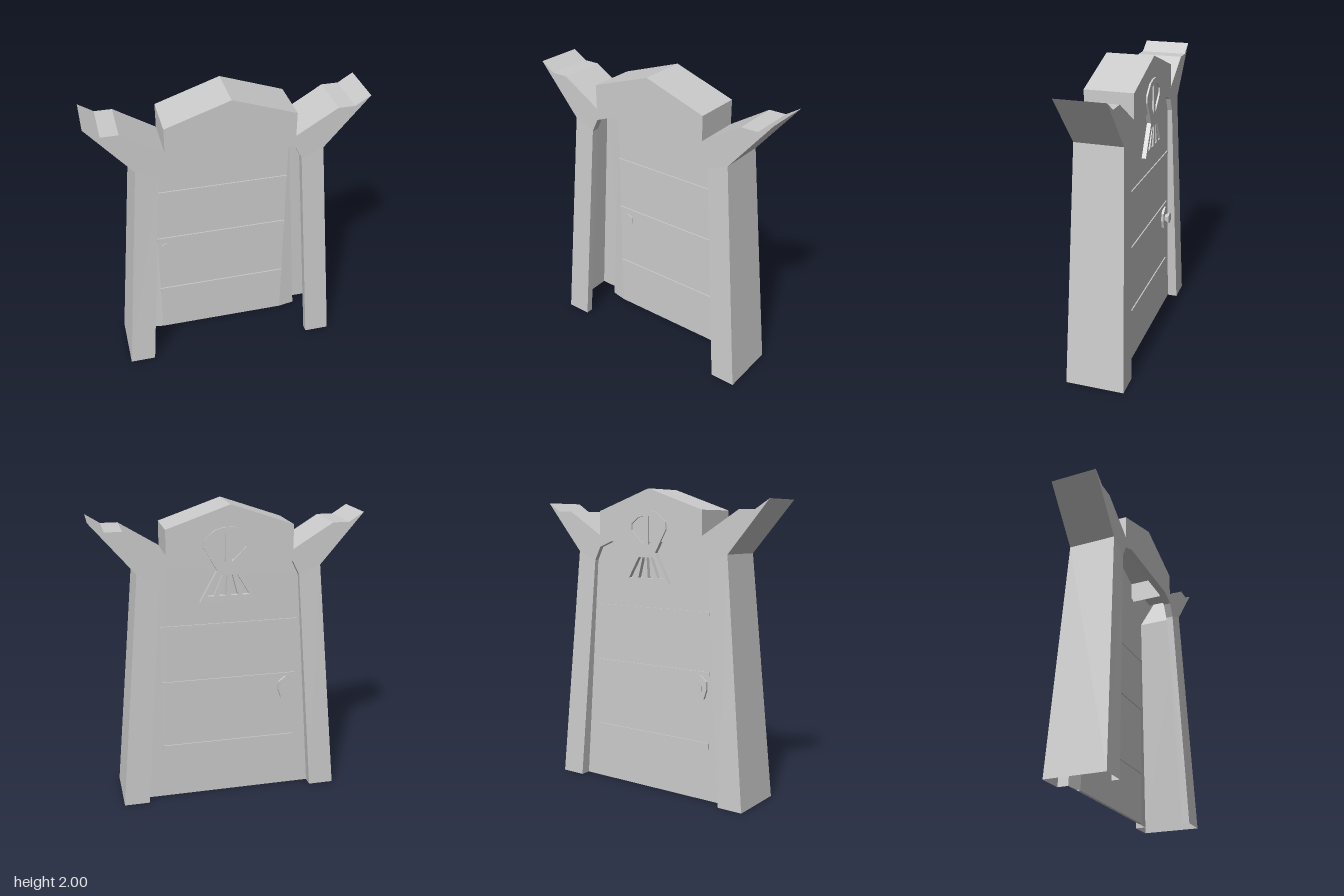
import * as THREE from 'three';
import { mergeGeometries } from 'three/addons/utils/BufferGeometryUtils.js';

const mat = new THREE.MeshStandardMaterial({ color: 0xcccccc, flatShading: true, side: THREE.DoubleSide });

// Half-outlines on the +x side, listed from the bottom up
const HEAD = [[0.595, 1.59], [0.875, 1.92], [0.78, 1.86], [0.67, 1.86], [0.41, 1.7], [0.41, 1.86]];
const ARCH = [[0.455, 1.53], [0.41, 1.62], [0.31, 1.66]];
const DOOR_FRONT = -0.105, DOOR_BACK = -0.125, LIP = 0.05;

const mirror = pts => pts.map(([x, y]) => [-x, y]).reverse();
const shapeOf = pts => new THREE.Shape(pts.map(p => new THREE.Vector2(p[0], p[1])));

// Half-depth of the frame: the jambs get thicker towards the floor
const depthAt = y => 0.157 + 0.038 * Math.max(0, 1 - y / 1.53);

function named(geometry, name) {
  const mesh = new THREE.Mesh(geometry, mat);
  mesh.name = name;
  return mesh;
}

function plain(geo) {
  const g = geo.index ? geo.toNonIndexed() : geo;
  g.deleteAttribute('uv');
  g.computeVertexNormals();
  return g;
}

// Flat polygon whose z follows a rule
function sheet(pts, zAt) {
  const g = new THREE.ShapeGeometry(shapeOf(pts));
  const p = g.attributes.position;
  for (let i = 0; i < p.count; i++) p.setZ(i, zAt(p.getX(i), p.getY(i)));
  return plain(g);
}

// Wall along an open path, between two depths
function wall(pts, zBack, zFront) {
  const v = [];
  for (let i = 0; i + 1 < pts.length; i++) {
    const [a, b] = [pts[i], pts[i + 1]];
    const ab = [...a, zBack(a[1])], af = [...a, zFront(a[1])];
    const bb = [...b, zBack(b[1])], bf = [...b, zFront(b[1])];
    v.push(...ab, ...bb, ...bf, ...ab, ...bf, ...af);
  }
  const g = new THREE.BufferGeometry();
  g.setAttribute('position', new THREE.Float32BufferAttribute(v, 3));
  g.computeVertexNormals();
  return g;
}

function extrude(shape, zBack, zFront) {
  return new THREE.ExtrudeGeometry(shape, { depth: zFront - zBack, bevelEnabled: false }).translate(0, 0, zBack);
}

// Hollow frame: two faces, the outer wall, and lips around the opening
function frame() {
  const crown = [...HEAD, [0, 2], ...mirror(HEAD)];
  const opening = [...ARCH, ...mirror(ARCH)];
  const head = [...crown, ...[...opening].reverse()];
  const jamb = [[0.57, 0], [0.74, 0], HEAD[0], ARCH[0]];
  const face = () => mergeGeometries([head, jamb, mirror(jamb)].map(p => sheet(p, (x, y) => depthAt(y))));
  const outer = [[0.74, 0], ...crown, [-0.74, 0]];
  const inner = [[0.57, 0], ...opening, [-0.57, 0]].reverse();
  return named(mergeGeometries([
    face(),
    face().rotateY(Math.PI),
    wall(outer, y => -depthAt(y), depthAt),
    wall(inner, y => depthAt(y) - LIP, depthAt),
    wall(inner, y => -depthAt(y), () => DOOR_BACK),
  ]), 'frame');
}

// Door: a flat slab with tapering wings that fill the flared opening
function door() {
  const group = new THREE.Group();
  group.name = 'door';
  const panel = [[0.455, 0], ...ARCH, ...mirror(ARCH), [-0.455, 0]];
  group.add(named(extrude(shapeOf(panel), DOOR_BACK, DOOR_FRONT), 'doorPanel'));

  const wing = [[0.455, 0], [0.57, 0], [0.455, 1.53]];
  const wingFront = x => (Math.abs(x) > 0.5 ? DOOR_BACK : DOOR_FRONT);
  for (const pts of [wing, mirror(wing)]) {
    group.add(named(mergeGeometries([
      sheet(pts, wingFront),
      sheet(pts.map(([x, y]) => [-x, y]), () => -DOOR_BACK).rotateY(Math.PI),
    ]), 'doorWing'));
  }

  // Cross bars showing on both sides
  for (const [y, h] of [[0.365, 0.04], [0.833, 0.026], [1.218, 0.025]]) {
    const bar = named(new THREE.BoxGeometry(0.91, h, 0.036), 'crossBar');
    bar.position.set(0, y, (DOOR_FRONT + DOOR_BACK) / 2);
    group.add(bar);
  }
  return group;
}

// Pierced ornament on the back, above the door
function ornament() {
  const half = [[0.185, 1.39], [0.075, 1.59], [0.16, 1.74], [0.155, 1.785], [0.09, 1.845], [0.03, 1.862]];
  const shape = shapeOf([...half, ...mirror(half)]);
  const hole = pts => shape.holes.push(new THREE.Path(pts.map(p => new THREE.Vector2(...p))));
  const eye = [[0.02, 1.64], [0.115, 1.735], [0.115, 1.775], [0.065, 1.815], [0.02, 1.825]];
  hole(eye);
  hole(mirror(eye));
  // Fan of four slots
  for (let i = 0; i < 4; i++) {
    const t = (i - 1.5) / 2;
    hole([[t * 0.155 - 0.022, 1.425], [t * 0.155 + 0.022, 1.425], [t * 0.065 + 0.009, 1.56], [t * 0.065 - 0.009, 1.56]]);
  }
  const mesh = named(extrude(shape, -0.168, -0.14), 'ornament');
  mesh.position.x = 0.015;
  return mesh;
}

// Door handle: a pointed plate with a knob behind, a flat six-sided disc in front
function handle() {
  const group = new THREE.Group();
  group.name = 'handle';
  group.position.set(-0.39, 0.75, 0);
  const plate = [[0.032, -0.08], [0.052, -0.02], [0.05, 0.035], [0, 0.075]];
  group.add(named(extrude(shapeOf([...plate, ...mirror(plate.slice(0, 3))]), -0.142, DOOR_BACK), 'handlePlate'));

  const knob = named(new THREE.CylinderGeometry(0.042, 0.024, 0.035, 6).rotateX(-Math.PI / 2), 'knob');
  knob.position.set(0, -0.01, -0.157);
  group.add(knob);

  const disc = named(new THREE.CylinderGeometry(0.045, 0.045, 0.01, 6).rotateX(Math.PI / 2), 'frontDisc');
  disc.position.set(0, 0.005, DOOR_FRONT);
  group.add(disc);
  return group;
}

export function createModel() {
  const model = new THREE.Group();
  model.name = 'doorway';
  model.add(frame(), door(), ornament(), handle());
  return model;
}
